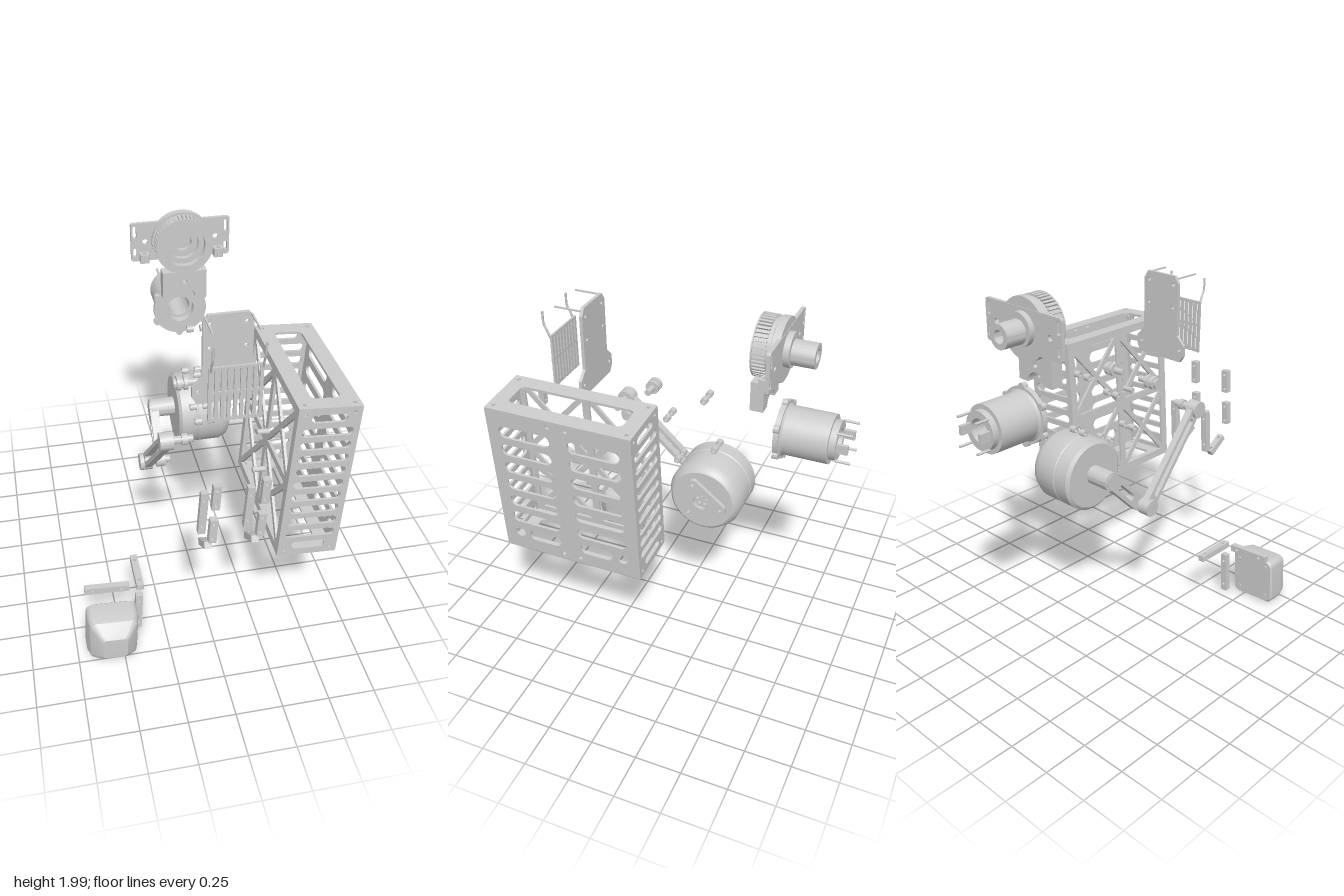
import * as THREE from 'three';
import { toCreasedNormals } from 'three/addons/utils/BufferGeometryUtils.js';

const mat = new THREE.MeshStandardMaterial({ color: 0xcccccc, side: THREE.DoubleSide });
const TILT = -0.064;

function add(parent, name, geo, pos = [0, 0, 0], rot = [0, 0, 0]) {
  const m = new THREE.Mesh(geo, mat);
  m.name = name;
  m.position.set(...pos);
  m.rotation.set(...rot);
  parent.add(m);
  return m;
}
function group(parent, name, pos = [0, 0, 0], rz = 0) {
  const g = new THREE.Group();
  g.name = name;
  g.position.set(...pos);
  g.rotation.z = rz;
  parent.add(g);
  return g;
}
const box = (w, h, d) => new THREE.BoxGeometry(w, h, d);
// Rounded rectangle; r = half the short side gives a slot
function rr(w, h, r, x = 0, y = 0, Type = THREE.Path) {
  const p = new Type(), a = w / 2 - r, b = h / 2 - r, q = Math.PI / 2;
  p.moveTo(x + a, y - h / 2);
  [[a, -b], [a, b], [-a, b], [-a, -b]].forEach(([cx, cy], i) => p.absarc(x + cx, y + cy, r, (i - 1) * q, i * q));
  p.closePath();
  return p;
}
const plate = (w, h, r, holes = []) => { const s = rr(w, h, r, 0, 0, THREE.Shape); s.holes.push(...holes); return s; };
const disc = (x, y, r) => rr(2 * r, 2 * r, r * 0.999, x, y);
const extrude = (shape, t) => new THREE.ExtrudeGeometry(shape, { depth: t, bevelEnabled: false, curveSegments: 6 }).translate(0, 0, -t / 2);
// Turned part: profile of [radius, position along axis]
function turned(profile, axis) {
  const g = toCreasedNormals(new THREE.LatheGeometry(profile.map(p => new THREE.Vector2(...p)), 48), 0.5);
  return axis === 'x' ? g.rotateZ(-Math.PI / 2) : g.rotateX(Math.PI / 2);
}
const rod = (r, len, axis = 'x') => turned([[0, -len / 2], [r, -len / 2], [r, len / 2], [0, len / 2]], axis);
// Small bar with holes, long side on y
const bar = len => extrude(plate(0.04, len, 0.004, [-0.32, 0.32].map(k => disc(0, k * len, 0.009))), 0.035);

function buildCage(root) {
  const g = group(root, 'cage', [0.5, 1.085, 0.395], TILT);
  const W = 0.32, H = 0.915, D = 0.81, t = 0.014;
  const corners = (w, h) => [-1, 1].flatMap(i => [-1, 1].map(j => disc(i * (w / 2 - 0.035), j * (h / 2 - 0.035), 0.01)));
  // Narrow slotted ends
  const ends = corners(W, H);
  for (let i = 0; i < 11; i++) ends.push(rr(i % 10 ? 0.26 : 0.18, 0.046, 0.022, 0, (i - 5) * 0.079));
  for (const s of [-1, 1]) add(g, s > 0 ? 'frontPanel' : 'backPanel', extrude(plate(W, H, 0.01, ends), t), [0, 0, s * (D - t) / 2]);
  // Wide slotted side
  const side = [-1, 1].flatMap(s => [-1, 1].map(k => disc(s * 0.05, k * 0.42, 0.012)));
  for (let i = 0; i < 7; i++) for (const s of [-1, 1]) {
    const y = 0.325 - i * 0.112;
    if (i < 6) side.push(rr(0.29, 0.07, 0.034, s * 0.195, y));
    else side.push(disc(s * 0.31, y, 0.03), rr(0.19, 0.065, 0.032, s * 0.155, y));
  }
  add(g, 'slottedSide', extrude(plate(D, H, 0.01, side), t), [(W - t) / 2, 0, 0], [0, Math.PI / 2, 0]);
  // Braced side: open frame with crossing struts
  const x = -(W - t) / 2;
  add(g, 'bracedFrame', extrude(plate(D, H, 0.01, [rr(D - 0.09, H - 0.09, 0.03)]), t), [x, 0, 0], [0, Math.PI / 2, 0]);
  add(g, 'centreStrut', box(t, H - 0.05, 0.04), [x, 0, 0]);
  add(g, 'middleStrut', box(t, 0.04, D - 0.05), [x, 0, 0]);
  for (const sy of [-1, 1]) for (const sz of [-1, 1]) for (const d of [-1, 1])
    add(g, 'diagonalStrut', box(t, 0.56, 0.03), [x, sy * 0.215, sz * 0.19], [d * 0.73, 0, 0]);
  // Top and bottom rims
  const rim = [rr(0.15, 0.64, 0.03), ...corners(W, D)];
  for (const s of [-1, 1]) add(g, s > 0 ? 'topPanel' : 'bottomPanel', extrude(plate(W, D, 0.01, rim), t), [0, s * (H - t) / 2, 0], [Math.PI / 2, 0, 0]);
  for (const [y, z] of [[0.08, 0.04], [-0.165, 0.04]]) add(g, 'sideBolt', rod(0.015, 0.07), [-0.19, y, z]);
}

function buildGearUnit(root) {
  const g = group(root, 'gearUnit', [0.08, 1.84, 0]);
  add(g, 'gearRing', turned([[0.05, -0.53], [0.148, -0.53], [0.148, -0.443], [0.16, -0.443], [0.16, -0.436], [0.115, -0.436],
    [0.115, -0.47], [0.085, -0.47], [0.085, -0.5], [0.05, -0.5], [0.05, -0.53]], 'z'));
  for (let i = 0; i < 44; i++) {
    const a = i / 44 * Math.PI * 2;
    add(g, 'gearTooth', box(0.018, 0.011, 0.07), [Math.cos(a) * 0.15, Math.sin(a) * 0.15, -0.475], [0, 0, a]);
  }
  const slots = [-1, 1].flatMap(s => [rr(0.02, 0.07, 0.009, s * 0.258, 0.06), rr(0.02, 0.05, 0.009, s * 0.258, -0.06), disc(s * 0.2, 0, 0.016)]);
  add(g, 'mountPlate', extrude(plate(0.56, 0.225, 0.015, slots), 0.02), [0, -0.007, -0.568]);
  add(g, 'mountDisc', turned([[0.04, -0.575], [0.165, -0.575], [0.165, -0.535], [0.04, -0.535]], 'z'), [0, -0.005, 0]);
  add(g, 'rearHub', turned([[0.03, -0.61], [0.09, -0.61], [0.09, -0.575], [0.03, -0.575]], 'z'));
  add(g, 'rearShaft', turned([[0.035, -0.6], [0.035, -0.73], [0.065, -0.73], [0.065, -0.575], [0, -0.575]].reverse(), 'z'), [0, -0.01, 0]);
  for (const s of [-1, 1]) {
    add(g, 'plateTab', extrude(plate(0.05, 0.05, 0.006, [disc(0, 0, 0.012)]), 0.05), [s * 0.21, -0.09, -0.535], [Math.PI / 2, 0, 0]);
  }
  // Arched bracket beneath the ring
  const s = new THREE.Shape();
  s.moveTo(-0.125, 0.16); s.lineTo(-0.125, 0); s.lineTo(-0.06, 0);
  s.absarc(0, 0, 0.06, Math.PI, 0, true);
  s.lineTo(0.125, 0); s.lineTo(0.125, 0.16); s.closePath();
  s.holes.push(disc(0, 0.1, 0.014));
  add(g, 'archBracket', extrude(s, 0.07), [0, -0.31, -0.472]);
}

function buildMotor(root) {
  const g = group(root, 'tubeMotor', [0.08, 1.385, 0]);
  add(g, 'motorBody', turned([[0.065, -0.88], [0.105, -0.88], [0.105, -0.845], [0.13, -0.845], [0.13, -0.61], [0.14, -0.6],
    [0.155, -0.6], [0.155, -0.572], [0.08, -0.572], [0.08, -0.62], [0.065, -0.62], [0.065, -0.88]], 'z'));
  for (let i = 0; i < 6; i++) {
    const a = i * Math.PI / 3 + 0.5;
    add(g, 'flangeLug', rod(0.02, 0.03, 'z'), [Math.cos(a) * 0.155, Math.sin(a) * 0.155, -0.586]);
  }
  for (const x of [-1, 1]) {
    add(g, 'terminal', box(0.02, 0.05, 0.07), [x * 0.075, 0, -0.905]);
    for (const y of [-1, 1]) add(g, 'pin', rod(0.007, 0.08, 'z'), [x * 0.068, y * 0.08, -0.915]);
  }
}

function buildArm(root) {
  const g = group(root, 'driveArm');
  const hub = group(g, 'hubMotor', [0, 0.943, -0.21]);
  add(hub, 'hubBody', turned([[0, -0.035], [0.185, -0.035], [0.204, -0.02], [0.204, 0.06], [0.2, 0.064], [0.2, 0.072], [0.204, 0.076],
    [0.204, 0.205], [0.185, 0.245], [0.172, 0.255], [0, 0.255]], 'x'));
  // Rounded triangular face plate
  const tri = new THREE.Shape();
  [-2.3, -0.25, 2.05].forEach(a => tri.absarc(Math.cos(a) * 0.1, Math.sin(a) * 0.1, 0.04, a - 0.85, a + 0.85));
  tri.closePath();
  tri.holes.push(disc(0, 0, 0.045), ...[-2.3, -0.25, 2.05].map(a => disc(Math.cos(a) * 0.11, Math.sin(a) * 0.11, 0.01)));
  add(hub, 'facePlate', extrude(tri, 0.025), [0.264, 0, 0], [0, Math.PI / 2, 0]);
  for (let i = 0; i < 5; i++) add(hub, 'hubBolt', rod(0.01, 0.02), [0.262, Math.cos(i * 1.257) * 0.027, Math.sin(i * 1.257) * 0.027]);
  add(g, 'hubAxle', rod(0.053, 0.15), [-0.1, 0.955, -0.213]);
  // Slotted link between two pivots
  const link = (name, a, b, w, t) => {
    const A = new THREE.Vector3(...a), B = new THREE.Vector3(...b), Y = B.clone().sub(A), L = Y.length();
    Y.normalize();
    const X = Y.clone().cross(new THREE.Vector3(1, 0, 0)).normalize(), Z = X.clone().cross(Y);
    const m = add(g, name, extrude(plate(w, L + w, w * 0.49, [rr(w * 0.42, L - 0.14, w * 0.2)]), t), A.add(B).multiplyScalar(0.5).toArray());
    m.quaternion.setFromRotationMatrix(new THREE.Matrix4().makeBasis(X, Y, Z));
  };
  link('upperLink', [-0.155, 0.955, -0.21], [-0.155, 0.745, 0], 0.085, 0.05);
  link('lowerLink', [-0.235, 0.745, 0.005], [-0.195, 1.195, 0.44], 0.08, 0.04);
  for (const [x, y, z] of [[-0.24, 0.745, 0.005], [-0.2, 1.195, 0.44]]) {
    add(g, 'linkBoss', rod(0.048, 0.07), [x, y, z]);
    add(g, 'pivotPin', rod(0.02, 0.15), [x + 0.065, y, z]);
    add(g, 'pivotCollar', rod(0.03, 0.03), [x + 0.095, y, z]);
  }
}

function buildComb(root) {
  const g = group(root, 'combUnit', [0.1, 0, 0]);
  const s = new THREE.Shape([[-0.1, 1.92], [-0.125, 1.88], [-0.125, 1.58], [-0.175, 1.53], [-0.175, 1.47], [-0.15, 1.43],
    [0.15, 1.43], [0.175, 1.47], [0.175, 1.53], [0.125, 1.58], [0.125, 1.88], [0.1, 1.92]].map(p => new THREE.Vector2(...p)));
  for (const x of [-1, 1]) for (const y of [1.5, 1.74, 1.87]) s.holes.push(disc(x * (y < 1.6 ? 0.145 : 0.09), y, 0.01));
  add(g, 'backPlate', extrude(s, 0.018), [0, 0, 0.475]);
  // Comb of upright bars hung in front
  for (let i = 0; i < 9; i++) add(g, 'combTooth', box(0.018, 0.3, 0.012), [(i - 4) * 0.031 - 0.003, 1.59, 0.657]);
  for (const y of [1.735, 1.6, 1.45]) add(g, 'combRail', box(0.27, 0.016, 0.01), [0, y, 0.657]);
  for (const x of [-0.125, 0.125]) {
    const path = new THREE.CatmullRomCurve3([[1.72, 0.66], [1.77, 0.68], [1.8, 0.695], [1.87, 0.698]].map(([y, z]) => new THREE.Vector3(x, y, z)));
    add(g, 'combHook', new THREE.TubeGeometry(path, 12, 0.006, 6));
    add(g, 'topWire', box(0.008, 0.008, 0.15), [x * 0.9, 1.905, 0.555]);
  }
}

// Rounded shell with a bevelled front, lofted from rounded squares
function buildShell(root) {
  const g = group(root, 'cornerUnit', [-0.555, 0.15, 0], TILT);
  const ring = rr(2, 2, 0.28).getPoints(5), n = ring.length;
  const levels = [[0.608, 0], [0.608, 0.13], [0.618, 0.138], [0.7, 0.138], [0.75, 0.126], [0.8, 0.088], [0.82, 0.066], [0.822, 0]];
  const v = levels.flatMap(([z, h]) => ring.flatMap(p => [p.x * h, p.y * h, z])), idx = [];
  for (let i = 0; i < levels.length - 1; i++) for (let j = 0; j < n; j++) {
    const k = (j + 1) % n, a = i * n + j, b = i * n + k;
    idx.push(a, b, b + n, a, b + n, a + n);
  }
  const geo = new THREE.BufferGeometry();
  geo.setAttribute('position', new THREE.Float32BufferAttribute(v, 3));
  geo.setIndex(idx);
  add(g, 'shell', toCreasedNormals(geo, 0.35));
  for (const x of [-1, 1]) for (const y of [-1, 1]) add(g, 'shellScrew', rod(0.012, 0.01, 'z'), [x * 0.095, y * 0.095, 0.606]);
  add(g, 'topBar', bar(0.245), [-0.015, 0.19, 0.555], [0, 0, Math.PI / 2]);
  add(g, 'sideBar', bar(0.245), [0.165, 0.0, 0.557]);
  add(g, 'depthBar', bar(0.245), [0.167, 0.185, 0.45], [Math.PI / 2, 0, 0]);
}

export function createModel() {
  const root = new THREE.Group();
  root.name = 'explodedMachine';
  buildCage(root);
  buildGearUnit(root);
  buildMotor(root);
  buildArm(root);
  buildComb(root);
  buildShell(root);
  // Mirrored roller bolts
  for (const s of [-1, 1]) {
    const g = group(root, 'rollerBolt', [0.083, 1.385, 0.21]);
    const p = [[0, 0.065], [0.018, 0.065], [0.018, 0.125], [0.038, 0.125], [0.038, 0.145], [0.028, 0.147], [0.028, 0.158], [0.038, 0.16], [0.038, 0.182], [0.026, 0.184], [0.026, 0.2], [0, 0.2]];
    add(g, 'roller', turned(p, 'x'), [0, 0, 0], [0, s > 0 ? 0 : Math.PI, 0]);
  }
  // Pairs of small bushings
  for (const [x, y, z] of [[0.052, 1.48, -0.165], [0.035, 1.18, -0.22], [0.03, 1.095, 0.165], [0.045, 1.32, 0.05], [0.04, 1.07, -0.01]])
    for (const d of [0, 0.073]) add(root, 'bushing', turned([[0.009, -0.018], [0.018, -0.018], [0.018, 0.018], [0.009, 0.018], [0.009, -0.018]], 'x'), [x + d, y, z]);
  // Two columns of spacer bars
  for (const x of [-0.062, 0.178]) {
    const g = group(root, 'spacerColumn', [x, 1, 0], TILT);
    add(g, 'upperSpacer', bar(0.14), [0, 0.195, 0.918], [0, 0, 0]);
    add(g, 'lowerSpacer', bar(0.14), [0, -0.01, 0.918], [0, 0, 0]);
    add(g, 'longSpacer', bar(0.26), [0, -0.07, 0.715], [0, 0, 0]);
    add(g, 'angledSpacer', bar(0.14), [0, -0.19, 0.81], [1.02, 0, 0]);
  }
  return root;
}
